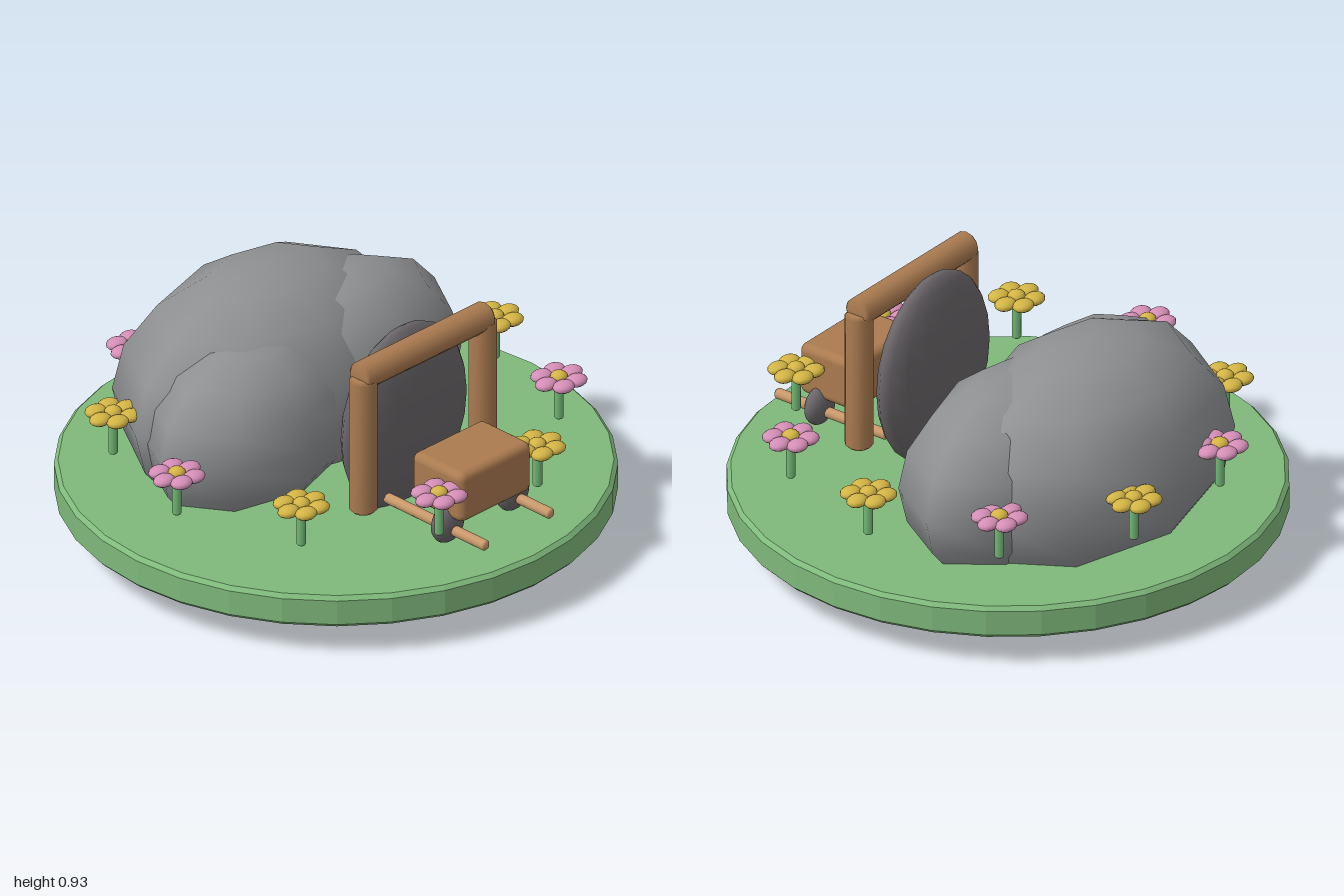
import * as THREE from 'three';
import { RoundedBoxGeometry } from 'three/addons/geometries/RoundedBoxGeometry.js';

const mat = (name, color) => {
  const m = new THREE.MeshStandardMaterial({ color });
  m.name = name;
  return m;
};

export function createModel() {
  const root = new THREE.Group();
  root.name = 'gardenScene';
  const grass = mat('grassGreen', 0x7fb97b);
  const rock = mat('rockGrey', 0x8e9092);
  const darkStone = mat('darkStone', 0x6b666a);
  const wood = mat('wood', 0xab7b50);
  const paleWood = mat('paleWood', 0xc8986a);
  const stemGreen = mat('stemGreen', 0x72b874);
  const pink = mat('petalPink', 0xd68fb8);
  const yellow = mat('petalYellow', 0xd4b545);

  const add = (parent, name, geo, material, x, y, z) => {
    const m = new THREE.Mesh(geo, material);
    m.name = name;
    m.position.set(x, y, z);
    parent.add(m);
    return m;
  };
  const ellipsoid = (rx, ry, rz, w, h) => new THREE.SphereGeometry(1, w, h).scale(rx, ry, rz);
  // Log: a cylinder along y with small chamfered ends
  const log = (r, length, c, sides) => {
    const h = length / 2;
    const pts = [[0, -h], [r - c, -h], [r, -h + c], [r, h - c], [r - c, h], [0, h]];
    return new THREE.LatheGeometry(pts.map(p => new THREE.Vector2(...p)), sides);
  };
  const faceted = geo => {
    const g = geo.toNonIndexed();
    g.computeVertexNormals();
    return g;
  };

  // Grass disc
  add(root, 'grassBase', faceted(log(1, 0.125, 0.015, 32)), grass, 0, 0.1825, 0);

  // Boulder mound
  add(root, 'mainBoulder', ellipsoid(0.65, 0.45, 0.435, 8, 8), rock, 0, 0.455, -0.355);
  add(root, 'leftBoulder', ellipsoid(0.52, 0.375, 0.325, 8, 8), rock, 0.255, 0.455, -0.215).rotation.y = 0.05;
  add(root, 'rightBoulder', ellipsoid(0.45, 0.35, 0.312, 8, 8), rock, -0.26, 0.425, -0.18).rotation.y = 0.03;

  // Stone door and its timber frame
  add(root, 'stoneDoor', ellipsoid(0.31, 0.365, 0.08, 16, 12), darkStone, 0, 0.56, 0.338);
  for (const s of [-1, 1])
    add(root, 'doorPost', log(0.052, 0.54, 0.012, 12), wood, s * 0.3, 0.6, 0.435);
  add(root, 'doorLintel', log(0.054, 0.645, 0.012, 12), wood, 0, 0.877, 0.432).rotation.z = Math.PI / 2;

  // Handcart
  const cart = new THREE.Group();
  cart.name = 'handcart';
  root.add(cart);
  add(cart, 'cartBox', new RoundedBoxGeometry(0.36, 0.2, 0.255, 3, 0.03), wood, 0, 0.465, 0.678);
  for (const s of [-1, 1]) {
    add(cart, 'cartWheel', ellipsoid(0.075, 0.075, 0.04, 16, 12), darkStone, s * 0.163, 0.338, 0.72);
    add(cart, 'cartHandle', log(0.02, 0.5, 0.007, 10), paleWood, s * 0.163, 0.32, 0.665).rotation.x = Math.PI / 2;
  }

  // Ring of alternating flowers
  const stemGeo = log(0.017, 0.135, 0.004, 8);
  const petalGeo = ellipsoid(0.044, 0.021, 0.036, 12, 8);
  const centreGeo = ellipsoid(0.033, 0.026, 0.033, 12, 8);
  for (let i = 0; i < 10; i++) {
    const a = i * Math.PI / 5;
    const flower = new THREE.Group();
    flower.name = 'flower';
    flower.position.set(0.8 * Math.cos(a), 0, 0.8 * Math.sin(a));
    root.add(flower);
    add(flower, 'stem', stemGeo, stemGreen, 0, 0.41, 0);
    add(flower, 'flowerCentre', centreGeo, yellow, 0, 0.508, 0);
    for (let k = 0; k < 6; k++) {
      const b = k * Math.PI / 3;
      add(flower, 'petal', petalGeo, i % 2 ? pink : yellow, 0.064 * Math.cos(b), 0.504, 0.064 * Math.sin(b));
    }
  }
  return root;
}
